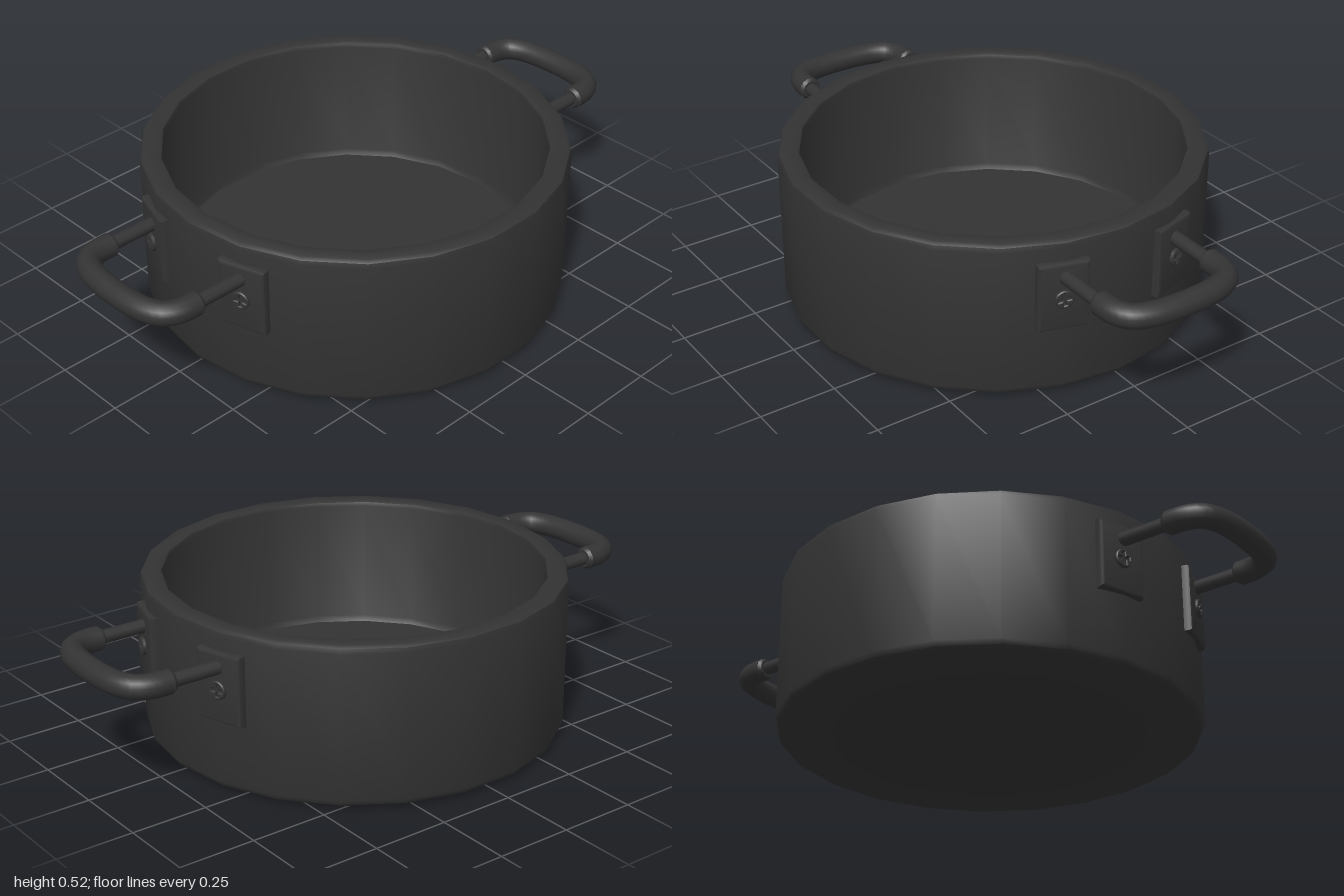
import * as THREE from 'three';
import { toCreasedNormals } from 'three/addons/utils/BufferGeometryUtils.js';

const DARK = new THREE.MeshStandardMaterial({ color: 0x333333 });

function add(parent, geometry, name, crease = 0.6) {
  const mesh = new THREE.Mesh(toCreasedNormals(geometry, crease), DARK);
  mesh.name = name;
  parent.add(mesh);
  return mesh;
}

// Cylinder lying along x, from x0 to x1
function rodX(x0, x1, r0, r1, y, z) {
  return new THREE.CylinderGeometry(r1, r0, x1 - x0, 14)
    .rotateZ(-Math.PI / 2)
    .translate((x0 + x1) / 2, y, z);
}

// Pot shell: base, outer wall, rolled rim, inner wall and floor
function potShell() {
  const profile = [
    [0, 0], [0.62, 0], [0.66, 0.006], [0.674, 0.016], [0.68, 0.032],
    [0.68, 0.503], [0.676, 0.517], [0.664, 0.525],
    [0.622, 0.525], [0.612, 0.52], [0.608, 0.508],
    [0.604, 0.1], [0.594, 0.08], [0, 0.08],
  ].map(([r, y]) => new THREE.Vector2(r, y));
  return new THREE.LatheGeometry(profile, 22, Math.PI / 2);
}

// Chamfered plate, back face on z = 0
function plateGeometry(w, h, depth, bevel) {
  const a = w / 2 - bevel, b = h / 2 - bevel;
  const s = new THREE.Shape([
    new THREE.Vector2(-a, -b), new THREE.Vector2(a, -b),
    new THREE.Vector2(a, b), new THREE.Vector2(-a, b),
  ]);
  return new THREE.ExtrudeGeometry(s, {
    depth: depth - bevel, bevelEnabled: true, bevelSize: bevel,
    bevelThickness: bevel, bevelSegments: 2,
  });
}

// Screw head with a cross-shaped slot
function screwGeometry(radius) {
  const s = new THREE.Shape().absarc(0, 0, radius, 0, Math.PI * 2, false);
  const w = radius * 0.16, l = radius * 0.68;
  s.holes.push(new THREE.Path([
    [w, w], [w, l], [-w, l], [-w, w], [-l, w], [-l, -w],
    [-w, -w], [-w, -l], [w, -l], [w, -w], [l, -w], [l, w],
  ].map(([x, y]) => new THREE.Vector2(x, y))));
  return new THREE.ExtrudeGeometry(s, {
    depth: 0.008, bevelEnabled: true, bevelSize: 0.003, bevelOffset: -0.003,
    bevelThickness: 0.003, bevelSegments: 1, curveSegments: 8,
  });
}

function handle() {
  const group = new THREE.Group();
  const y = 0.412, z = 0.2, r = 0.038;

  // Bent grip
  const half = [[0.825, z], [0.88, 0.197], [0.925, 0.175], [0.95, 0.125], [0.96, 0.06]];
  const points = [
    ...half.map(([px, pz]) => new THREE.Vector3(px, y, pz)),
    new THREE.Vector3(0.962, y, 0),
    ...half.slice().reverse().map(([px, pz]) => new THREE.Vector3(px, y, -pz)),
  ];
  const path = new THREE.CatmullRomCurve3(points);
  add(group, new THREE.TubeGeometry(path, 32, r, 14), 'grip');

  for (const side of [1, -1]) {
    // Grip end and thin rod into the wall
    add(group, rodX(0.815, 0.826, r * 0.8, r, y, side * z), 'gripEnd');
    add(group, rodX(0.64, 0.83, 0.022, 0.022, y, side * z), 'rod');

    // Mount plate and screw, turned to follow the wall
    const mount = new THREE.Group();
    mount.name = 'mount';
    mount.rotation.y = Math.PI / 2 - side * THREE.MathUtils.degToRad(17.3);
    add(mount, plateGeometry(0.16, 0.226, 0.045, 0.01), 'mountPlate', 0.5)
      .position.set(0, 0.347, 0.65);
    const screw = add(mount, screwGeometry(0.03), 'screw', 0.5);
    screw.position.set(0, 0.343, 0.694);
    screw.rotation.z = side > 0 ? 0.15 : 0;
    group.add(mount);
  }
  return group;
}

export function createModel() {
  const model = new THREE.Group();
  model.name = 'cookingPot';
  add(model, potShell(), 'potShell');

  const left = handle();
  left.name = 'leftHandle';
  const right = handle();
  right.name = 'rightHandle';
  right.rotation.y = Math.PI;
  model.add(left, right);
  return model;
}
